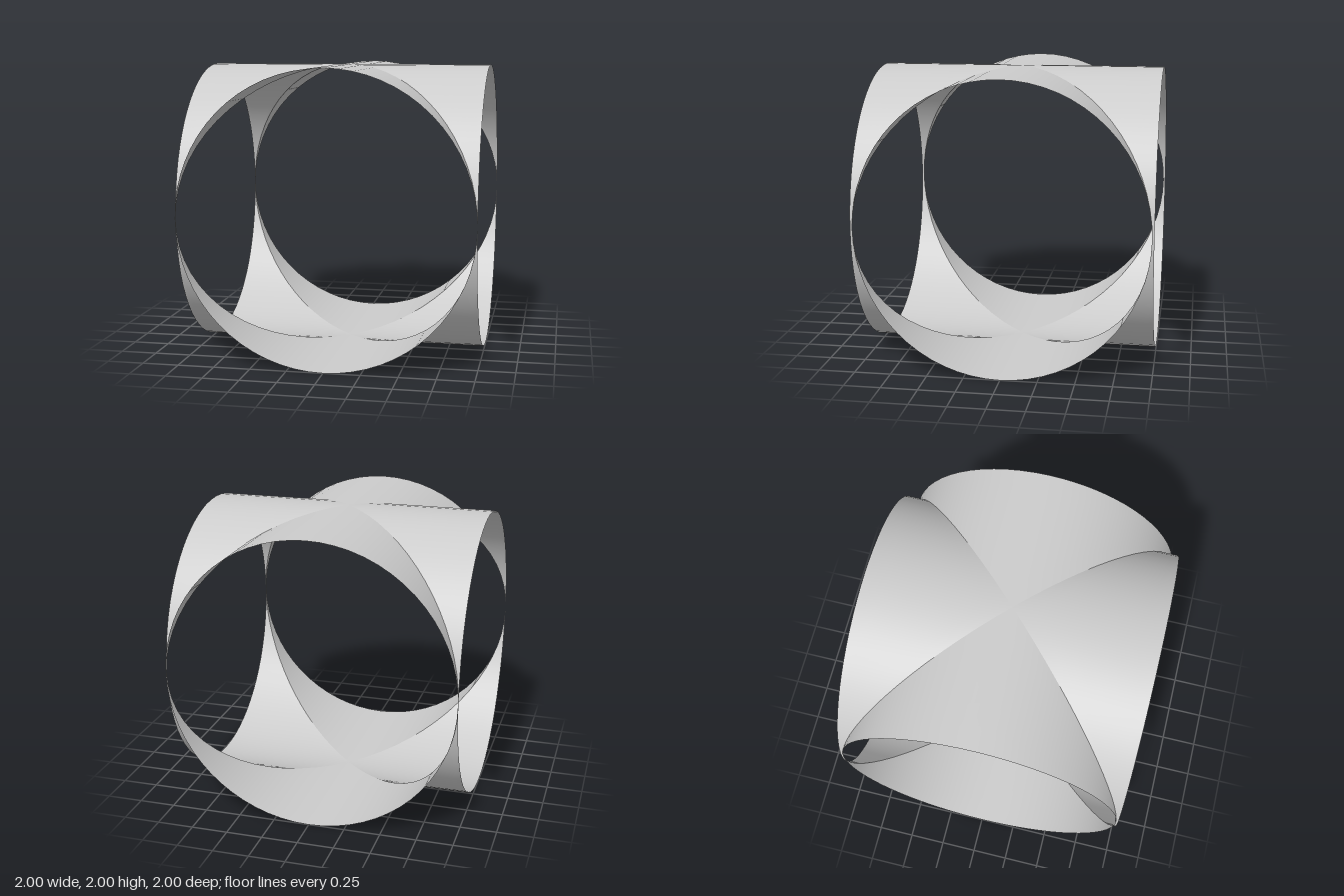
import * as THREE from 'three';

const ACROSS = 32; // steps along each arch
const OUT = 6;     // steps from groin to rim

// One web of a groin vault: part of a half cylinder along z, reaching from the
// diagonal groin (innerScale * |cos a|) out to the arched rim at z = 1.
function webGeometry(halfWidth, innerScale) {
  const positions = [], indices = [];
  for (let i = 0; i <= ACROSS; i++) {
    const a = Math.PI * i / ACROSS;
    const c = Math.cos(a), inner = innerScale * Math.abs(c);
    for (let j = 0; j <= OUT; j++) {
      positions.push(halfWidth * c, Math.sin(a), inner + (1 - inner) * j / OUT);
    }
  }
  const row = OUT + 1;
  for (let i = 0; i < ACROSS; i++) {
    for (let j = 0; j < OUT; j++) {
      const p = i * row + j;
      indices.push(p, p + row, p + 1, p + 1, p + row, p + row + 1);
    }
  }
  const geometry = new THREE.BufferGeometry();
  geometry.setAttribute('position', new THREE.Float32BufferAttribute(positions, 3));
  geometry.setIndex(indices);
  geometry.computeVertexNormals();
  return geometry;
}

export function createModel() {
  const model = new THREE.Group();
  model.name = 'vaultedShell';
  const material = new THREE.MeshStandardMaterial({ color: 0xcccccc, side: THREE.DoubleSide });

  // The side arches are slightly narrower, leaving thin necks at the four corners
  const narrow = 0.985;
  const frontWeb = webGeometry(1, narrow);
  const sideWeb = webGeometry(narrow, 1);
  const names = ['FrontWeb', 'LeftWeb', 'BackWeb', 'RightWeb'];

  // Upper vault, and the same vault turned over for the lower one
  for (const level of ['upper', 'lower']) {
    const vault = new THREE.Group();
    vault.name = level + 'Vault';
    vault.position.y = 1;
    if (level === 'lower') vault.rotation.x = Math.PI;
    names.forEach((name, k) => {
      const web = new THREE.Mesh(k % 2 ? sideWeb : frontWeb, material);
      // Turning over about x swaps front and back
      const label = level === 'lower' && k % 2 === 0 ? names[2 - k] : name;
      web.name = level + label;
      web.rotation.y = k * Math.PI / 2;
      vault.add(web);
    });
    model.add(vault);
  }
  return model;
}
